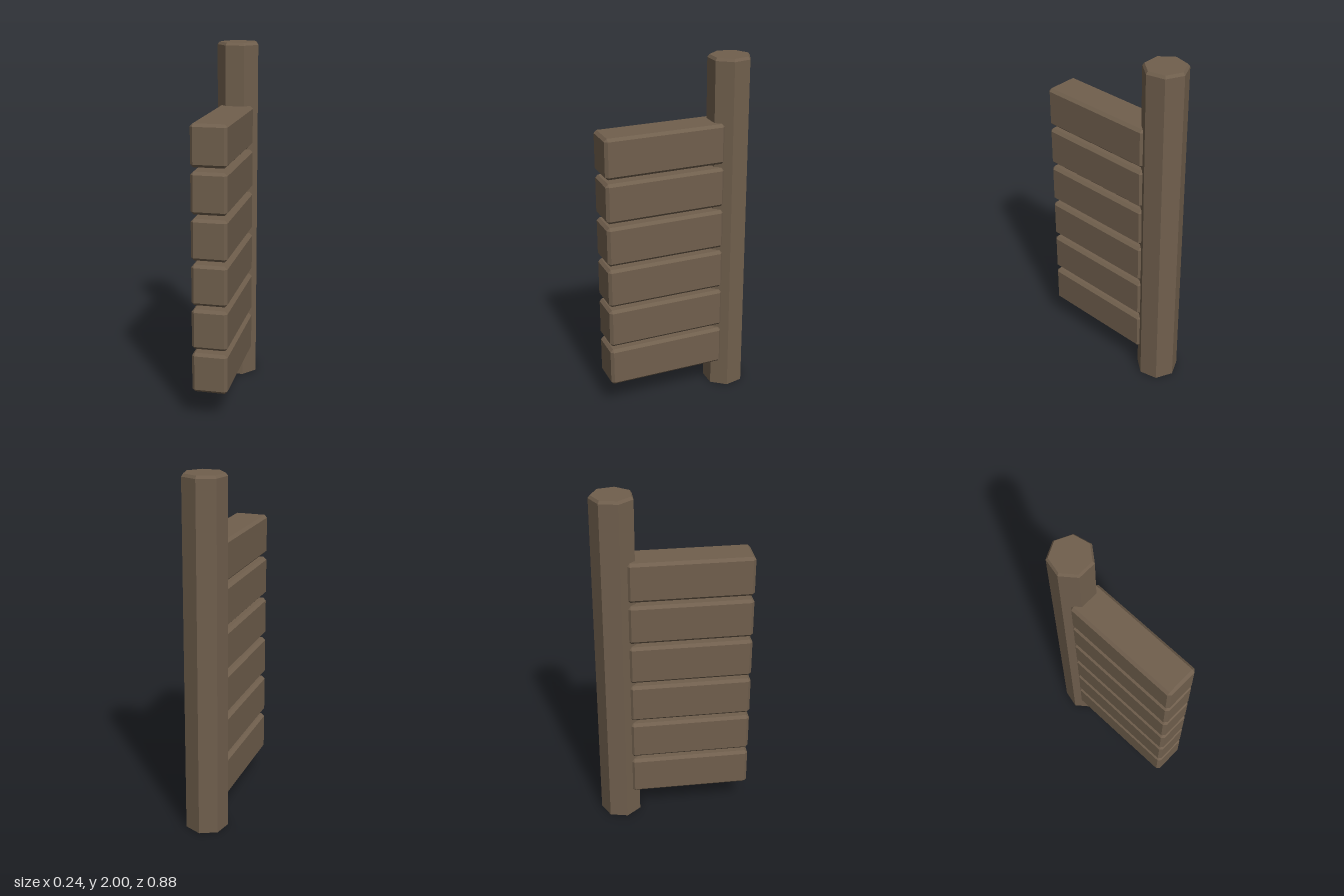
import * as THREE from 'three';
import { ConvexGeometry } from 'three/addons/geometries/ConvexGeometry.js';

// Box with every edge chamfered by c, centred on the origin
function chamferedBox(w, h, d, c) {
  const x = w / 2, y = h / 2, z = d / 2;
  const points = [];
  for (const sx of [-1, 1]) for (const sy of [-1, 1]) for (const sz of [-1, 1]) {
    points.push(
      new THREE.Vector3(sx * x, sy * (y - c), sz * (z - c)),
      new THREE.Vector3(sx * (x - c), sy * y, sz * (z - c)),
      new THREE.Vector3(sx * (x - c), sy * (y - c), sz * z)
    );
  }
  return new ConvexGeometry(points);
}

export function createModel() {
  const group = new THREE.Group();
  const wood = new THREE.MeshStandardMaterial({ color: 0x705f4d, flatShading: true });
  wood.name = 'brown wood';

  const add = (name, geometry, x, y, z) => {
    const mesh = new THREE.Mesh(geometry, wood);
    mesh.name = name;
    mesh.position.set(x, y, z);
    group.add(mesh);
  };

  // Seven-sided post with a small chamfered top, one corner pointing back
  const radius = 0.121, postZ = -0.317, shoulder = 1.985;
  add('post', new THREE.CylinderGeometry(radius, radius, shoulder, 7, 1, true, Math.PI), 0, shoulder / 2, postZ);
  add('postTop', new THREE.CylinderGeometry(radius - 0.011, radius, 2 - shoulder, 7, 1, false, Math.PI), 0, (2 + shoulder) / 2, postZ);
  const base = new THREE.CircleGeometry(radius, 7, Math.PI / 2).rotateX(Math.PI / 2).rotateY(Math.PI);
  add('postBase', base, 0, 0, postZ);

  // Six chamfered planks reaching forward from the post
  const plank = chamferedBox(0.198, 0.228, 0.693, 0.016);
  for (let i = 0; i < 6; i++) add('plank' + (i + 1), plank, 0, 0.276 + i * 0.251, 0.0905);

  return group;
}
